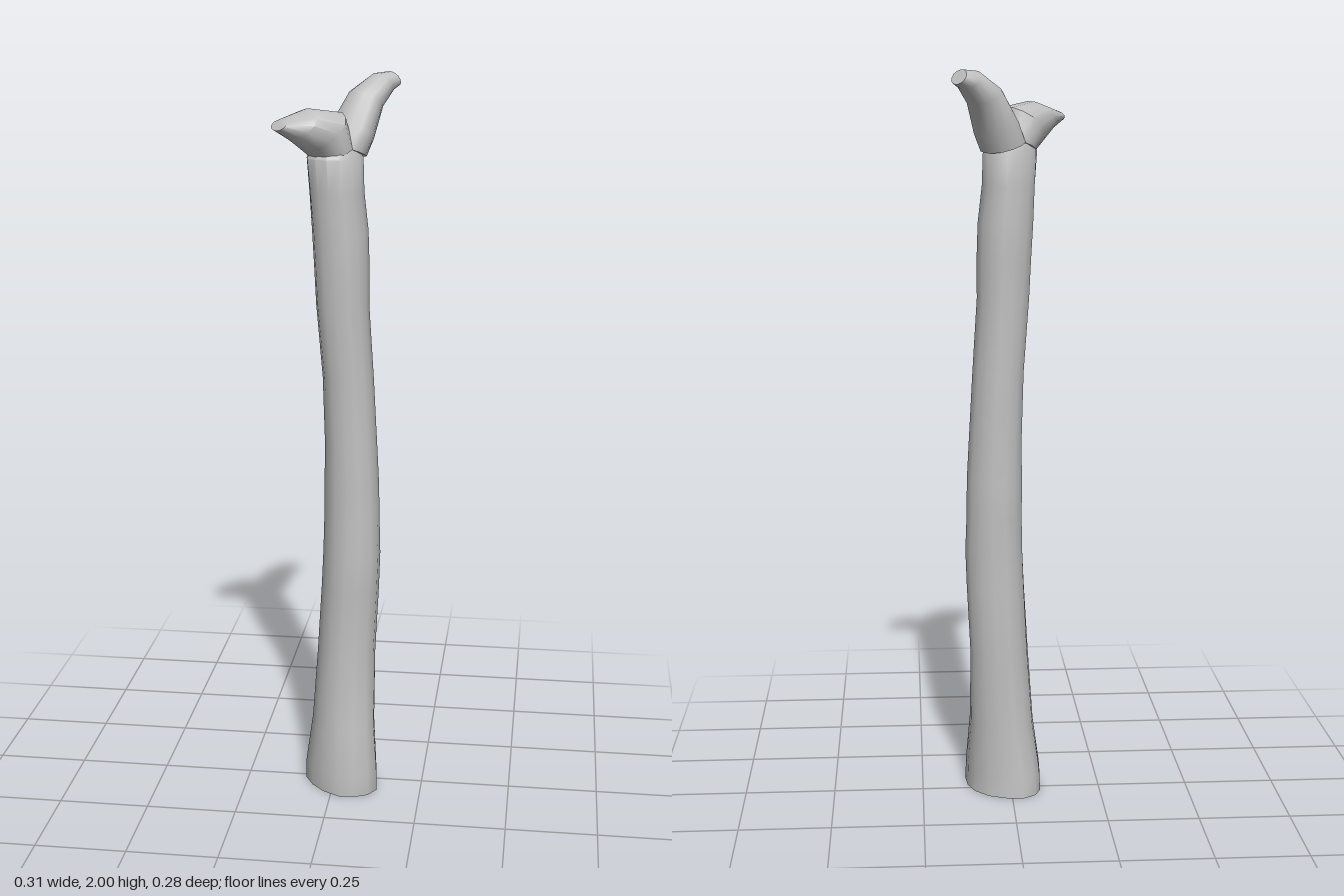
import * as THREE from 'three';
import { toCreasedNormals } from 'three/addons/utils/BufferGeometryUtils.js';

const SIDES = 14;
const V = (x, y, z) => new THREE.Vector3(x, y, z);

// Skin a list of elliptical rings {c, u, v}; u x v points along the loft.
function loft(rings, bump, capDent) {
  const pos = [], idx = [];
  rings.forEach(({ c, u, v }, r) => {
    for (let i = 0; i < SIDES; i++) {
      const a = (i / SIDES) * Math.PI * 2;
      const k = 1 + bump * Math.sin(3 * a + r * 0.9) * Math.cos(2 * a - r * 0.6);
      const p = c.clone().addScaledVector(u, k * Math.cos(a)).addScaledVector(v, k * Math.sin(a));
      pos.push(p.x, p.y, p.z);
    }
  });
  const last = rings.length - 1;
  for (let r = 0; r < last; r++) {
    for (let i = 0; i < SIDES; i++) {
      const j = (i + 1) % SIDES, a = r * SIDES, b = a + SIDES;
      idx.push(a + i, a + j, b + j, a + i, b + j, b + i);
    }
  }
  // end caps, slightly sunken at the start
  const c0 = rings[0].c, c1 = rings[last].c, n = rings.length * SIDES;
  pos.push(c0.x, c0.y + capDent, c0.z, c1.x, c1.y, c1.z);
  for (let i = 0; i < SIDES; i++) {
    const j = (i + 1) % SIDES;
    idx.push(n, j, i, n + 1, last * SIDES + i, last * SIDES + j);
  }
  const g = new THREE.BufferGeometry();
  g.setAttribute('position', new THREE.Float32BufferAttribute(pos, 3));
  g.setIndex(idx);
  return toCreasedNormals(g, 0.75);
}

// Trunk rings: height, centre x, centre z, long and short diagonal radius
const TRUNK = [
  [0, 0.02, 0.02, 0.12, 0.09],
  [0.06, 0.02, 0.02, 0.117, 0.09],
  [0.2, 0.028, 0.015, 0.096, 0.082],
  [0.4, 0.035, 0.008, 0.083, 0.08],
  [0.6, 0.043, 0.01, 0.083, 0.078],
  [0.7, 0.046, 0.012, 0.084, 0.076],
  [0.8, 0.047, 0.005, 0.08, 0.074],
  [0.9, 0.047, 0.01, 0.08, 0.072],
  [1.0, 0.043, 0.01, 0.075, 0.069],
  [1.2, 0.033, 0.01, 0.072, 0.067],
  [1.4, 0.02, 0.015, 0.072, 0.07],
  [1.5, 0.019, 0.016, 0.074, 0.073],
  [1.6, 0.013, 0.017, 0.075, 0.074],
  [1.7, 0.003, 0.018, 0.07, 0.073],
  [1.79, 0, 0.018, 0.069, 0.077],
  [1.82, 0, 0.015, 0.055, 0.06],
];

function trunkGeometry() {
  const h = Math.SQRT1_2;
  return loft(TRUNK.map(([y, x, z, l, s]) => ({
    c: V(x, y, z), u: V(h * l, 0, h * l), v: V(h * s, 0, -h * s),
  })), 0.045, 0.015);
}

// Branch rings: outward and height of the lower edge, then of the upper edge,
// half width, sideways shift. dir +1 leans front right, -1 back left.
function branchGeometry(dir, rows) {
  const out = V(-dir, 0, dir).normalize(), side = V(1, 0, 1).normalize();
  return loft(rows.map(([s0, y0, s1, y1, w, t]) => ({
    c: out.clone().multiplyScalar((s0 + s1) / 2).addScaledVector(side, t).add(V(0, (y0 + y1) / 2, 0)),
    u: side.clone().multiplyScalar(w * dir),
    v: out.clone().multiplyScalar((s1 - s0) / 2).add(V(0, (y1 - y0) / 2, 0)),
  })), 0.03, 0);
}

export function createModel() {
  const group = new THREE.Group();
  const grey = new THREE.MeshStandardMaterial({ color: 0xc0c0c0 });
  grey.name = 'pale grey';
  const add = (name, geometry) => {
    const mesh = new THREE.Mesh(geometry, grey);
    mesh.name = name;
    group.add(mesh);
  };

  add('trunk', trunkGeometry());
  // short blunt stub
  add('frontBranch', branchGeometry(1, [
    [0.072, 1.785, -0.03, 1.825, 0.066, 0.01],
    [0.105, 1.81, -0.005, 1.905, 0.072, 0.008],
    [0.15, 1.842, 0.09, 1.92, 0.057, 0.01],
    [0.19, 1.868, 0.165, 1.895, 0.03, -0.005],
  ]));
  // taller pointed limb
  add('backBranch', branchGeometry(-1, [
    [0.074, 1.785, -0.03, 1.825, 0.066, 0.01],
    [0.095, 1.83, 0, 1.88, 0.068, 0.012],
    [0.13, 1.91, 0.055, 1.957, 0.054, 0.01],
    [0.172, 1.95, 0.125, 1.997, 0.038, 0.01],
    [0.195, 1.962, 0.172, 2.0, 0.025, 0.015],
  ]));
  return group;
}
